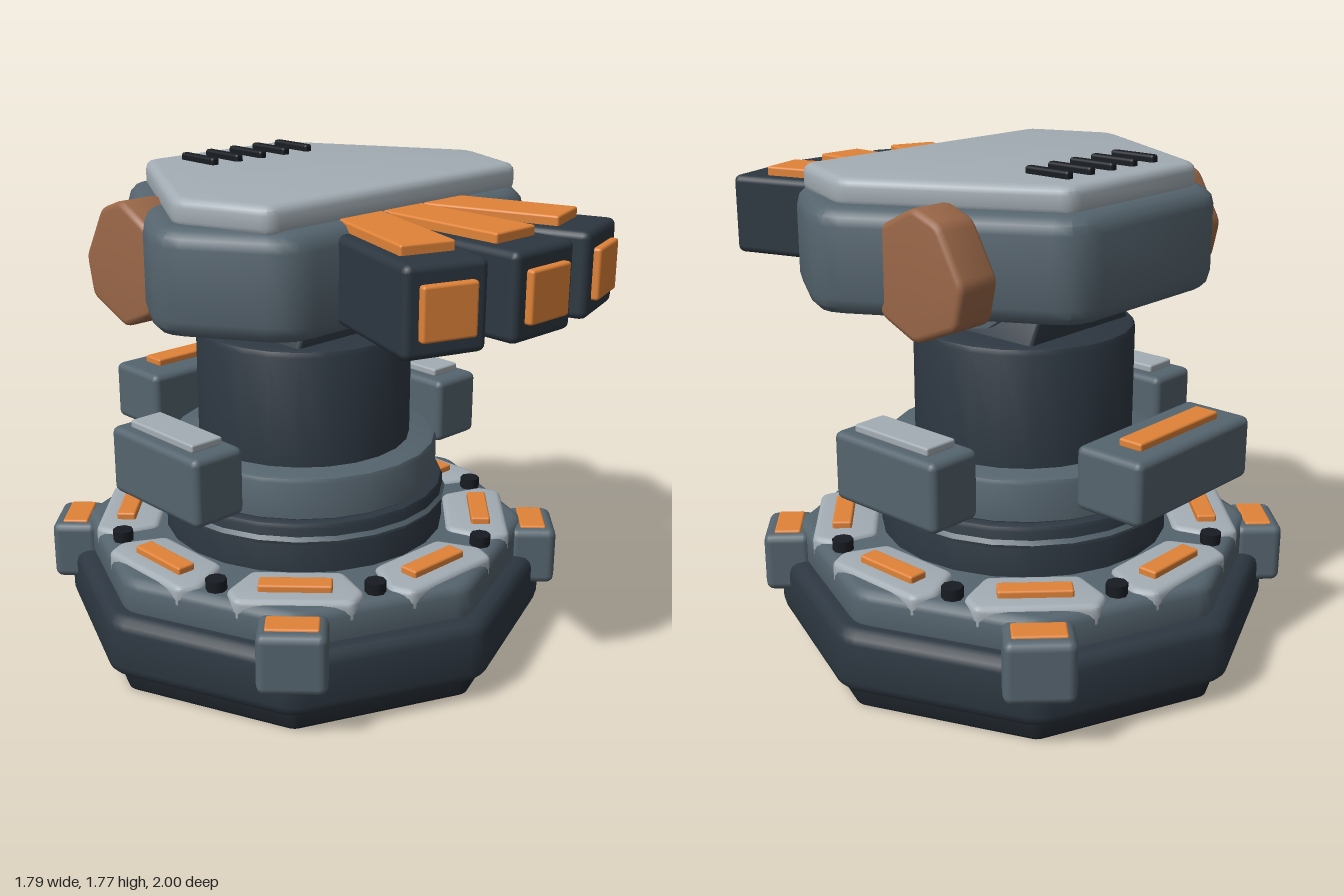
import * as THREE from 'three';
import { toCreasedNormals } from 'three/addons/utils/BufferGeometryUtils.js';
import { RoundedBoxGeometry } from 'three/addons/geometries/RoundedBoxGeometry.js';

const mat = (color) => new THREE.MeshStandardMaterial({ color });
const M = {
  black: mat(0x181c22), plinth: mat(0x1d232a), dark: mat(0x2d3741), steel: mat(0x55646e),
  light: mat(0xa3adb4), orange: mat(0xe08338), copper: mat(0x9a6748),
};
const CZ = -0.105; // axis of the turning column

function add(parent, name, geometry, material, x = 0, y = 0, z = 0) {
  const mesh = new THREE.Mesh(geometry, material);
  mesh.name = name;
  mesh.position.set(x, y, z);
  parent.add(mesh);
  return mesh;
}

function box(parent, name, size, pos, material, r = 0.02) {
  const radius = Math.min(r, Math.min(...size) * 0.45);
  return add(parent, name, new RoundedBoxGeometry(...size, 2, radius), material, ...pos);
}

// Polygon with softened corners; c is the length cut from each corner
function softShape(points, c) {
  const pts = points.map(([x, y]) => new THREE.Vector2(x, y));
  const shape = new THREE.Shape();
  pts.forEach((p, i) => {
    const prev = pts[(i + pts.length - 1) % pts.length], next = pts[(i + 1) % pts.length];
    const a = p.clone().add(prev.clone().sub(p).setLength(c));
    const b = p.clone().add(next.clone().sub(p).setLength(c));
    if (i === 0) shape.moveTo(a.x, a.y); else shape.lineTo(a.x, a.y);
    shape.quadraticCurveTo(p.x, p.y, b.x, b.y);
  });
  shape.closePath();
  return shape;
}

// Bevelled prism over an outline, running from 0 to depth along z
function prism(points, depth, bevel, corner) {
  const g = new THREE.ExtrudeGeometry(softShape(points, corner), {
    depth: depth - 2 * bevel, bevelThickness: bevel, bevelSize: bevel,
    bevelOffset: -bevel, bevelSegments: 3, curveSegments: 3,
  });
  g.translate(0, 0, bevel);
  return toCreasedNormals(g, 0.6);
}

// Same prism laid flat; outline given as [x, z], standing on y0
function plate(parent, name, outline, y0, y1, bevel, corner, material) {
  const g = prism(outline.map(([x, z]) => [x, -z]), y1 - y0, bevel, corner);
  g.rotateX(-Math.PI / 2);
  return add(parent, name, g, material, 0, y0, 0);
}

const octagon = (r) => Array.from({ length: 8 }, (_, i) =>
  [r * Math.sin(i * Math.PI / 4), r * Math.cos(i * Math.PI / 4)]);
const mirrored = (half) => [...half, ...half.map(([x, z]) => [-x, z]).reverse()];

// Round part turned from a [radius, y] profile
function turned(parent, name, profile, material) {
  const g = new THREE.LatheGeometry(profile.map(([r, y]) => new THREE.Vector2(r, y)), 24);
  return add(parent, name, toCreasedNormals(g, 0.6), material);
}
const drum = (r, y0, y1, b) => [[0, y0], [r - b, y0], [r, y0 + b], [r, y1 - b],
  [r - b * 0.3, y1 - b * 0.3], [r - b, y1], [0, y1]];

function makeBase() {
  const base = new THREE.Group();
  base.name = 'base';
  base.position.z = CZ;
  plate(base, 'plinth', octagon(0.83), 0, 0.09, 0.01, 0.02, M.plinth);
  plate(base, 'baseSlab', octagon(0.905), 0.08, 0.31, 0.045, 0.05, M.dark);
  plate(base, 'upperDeck', octagon(0.835), 0.28, 0.43, 0.035, 0.05, M.steel);

  for (let i = 0; i < 8; i++) {
    // Deck panel with a lamp strip, and a stud beside it
    const sector = new THREE.Group();
    sector.name = 'deckSector';
    sector.rotation.y = i * Math.PI / 4;
    base.add(sector);
    plate(sector, 'deckPanel', mirrored([[0.16, 0.53], [0.235, 0.68], [0.2, 0.76]]),
      0.36, 0.445, 0.02, 0.025, M.light);
    box(sector, 'deckLamp', [0.25, 0.035, 0.07], [0, 0.452, 0.66], M.orange, 0.008);
    const a = Math.PI / 8;
    add(sector, 'stud', new THREE.CylinderGeometry(0.037, 0.037, 0.05, 8), M.black,
      0.7 * Math.sin(a), 0.445, 0.7 * Math.cos(a));

    // Clamps on the diagonal corners
    if (i % 2) {
      box(sector, 'clamp', [0.235, 0.22, 0.17], [0, 0.305, 0.86], M.steel, 0.03);
      box(sector, 'clampLamp', [0.18, 0.03, 0.095], [0, 0.408, 0.86], M.orange, 0.008);
    }
  }
  return base;
}

function makeColumn() {
  const column = new THREE.Group();
  column.name = 'column';
  column.position.z = CZ;
  turned(column, 'bearing', drum(0.52, 0.4, 0.615, 0.02), M.dark);
  turned(column, 'bearingRing', [[0.48, 0.515], [0.51, 0.52], [0.53, 0.55], [0.51, 0.58], [0.48, 0.585]], M.steel);
  turned(column, 'collar', drum(0.492, 0.6, 0.77, 0.02), M.steel);
  turned(column, 'neck', drum(0.392, 0.74, 1.19, 0.025), M.dark);

  // Tapered yoke and the pivot drum across it
  const yoke = prism([[-0.27, 1.17], [0.27, 1.17], [0.18, 1.36], [-0.18, 1.36]], 0.52, 0.015, 0.02);
  add(column, 'yoke', yoke, M.dark, 0, 0, -0.26);
  const pivot = new THREE.CylinderGeometry(0.205, 0.205, 0.55, 16);
  pivot.rotateZ(Math.PI / 2);
  add(column, 'pivot', toCreasedNormals(pivot, 0.6), M.steel, 0, 1.41, 0);

  // Side pods
  for (const s of [-1, 1]) {
    box(column, 'sidePod', [0.21, 0.245, 0.475], [s * 0.592, 0.77, 0], M.steel, 0.025);
    box(column, 'sidePodCap', [0.13, 0.03, 0.345], [s * 0.592, 0.907, 0], M.light, 0.008);
  }
  // Rear pod
  box(column, 'rearPod', [0.62, 0.22, 0.26], [0, 0.81, -0.625], M.steel, 0.025);
  box(column, 'rearPodLamp', [0.43, 0.03, 0.09], [0, 0.93, -0.64], M.orange, 0.008);
  return column;
}

function makeHead() {
  const head = new THREE.Group();
  head.name = 'head';
  plate(head, 'headShell', mirrored([[0.36, -0.66], [0.8, 0.08], [0.55, 0.46]]),
    1.32, 1.67, 0.06, 0.09, M.steel);
  plate(head, 'topPlate', mirrored([[0.325, -0.588], [0.7, 0.065], [0.575, 0.385]]),
    1.65, 1.75, 0.03, 0.04, M.light);
  for (let i = -2; i <= 2; i++) {
    box(head, 'vent', [0.032, 0.04, 0.18], [i * 0.11, 1.755, -0.4], M.black, 0.01);
  }

  // Cheek discs, outline as [-z, y]
  const cheek = prism([[0.25, 1.695], [0.36, 1.655], [0.46, 1.48], [0.43, 1.34],
    [0.25, 1.265], [0.1, 1.33], [0.06, 1.48], [0.1, 1.62]], 0.165, 0.02, 0.025);
  cheek.rotateY(Math.PI / 2);
  for (const s of [-1, 1]) {
    add(head, 'cheekDisc', cheek, M.copper, s > 0 ? 0.515 : -0.68, 0, 0);
  }

  // Three fanned barrels
  for (const s of [-1, 0, 1]) {
    const barrel = new THREE.Group();
    barrel.name = 'barrel';
    barrel.position.set(s * 0.165, 1.5, 0.3);
    barrel.rotation.y = s * 0.322;
    head.add(barrel);
    const tip = s ? 0.645 : 0.675;
    box(barrel, 'barrelBody', [0.28, 0.285, tip + 0.1], [0, 0, tip / 2 - 0.05], M.dark, 0.025);
    box(barrel, 'barrelStrip', [0.185, 0.045, tip - 0.1], [0, 0.152, tip / 2 - 0.07], M.orange, 0.008);
    box(barrel, 'muzzleLamp', [0.185, 0.17, 0.05], [0, 0, tip], M.orange, 0.01);
  }
  return head;
}

export function createModel() {
  const model = new THREE.Group();
  model.name = 'turret';
  model.add(makeBase(), makeColumn(), makeHead());
  // Cheek outlines are drawn toward -z
  return model;
}
